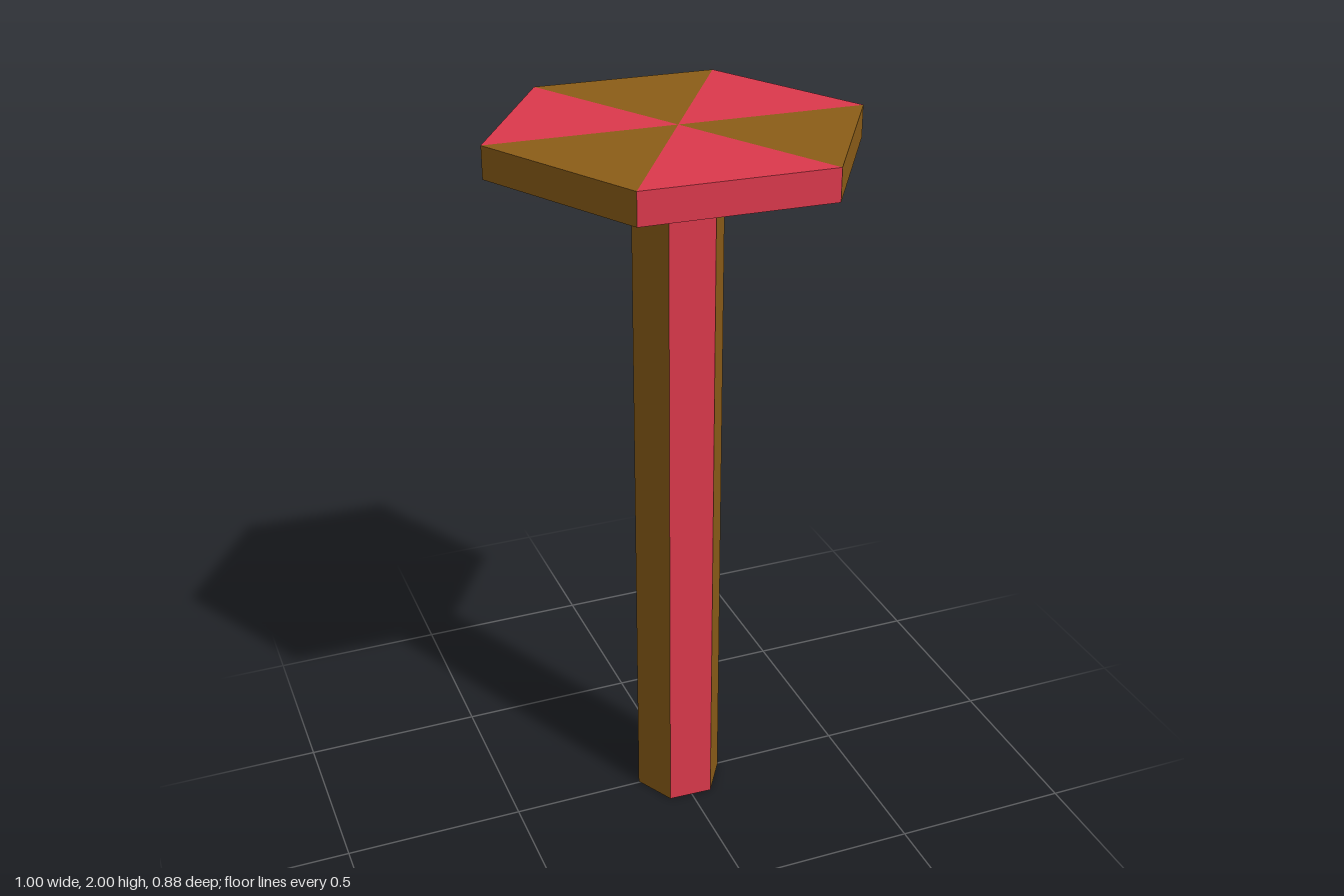
import * as THREE from 'three';

const SIDES = 6;
const STEP = (Math.PI * 2) / SIDES;
const START = THREE.MathUtils.degToRad(-32.2); // slight twist of the hexagon
const HEIGHT = 2;
const CAP_BOTTOM = 1.915;

const COLORS = [0xdc394c, 0x8b5d18];

// One hexagonal prism made of six sectors in alternating colours
function hexPrism(name, partName, radius, y0, y1, openEnded) {
  const group = new THREE.Group();
  group.name = name;
  const materials = COLORS.map((color) => new THREE.MeshStandardMaterial({
    color,
    flatShading: true,
    side: openEnded ? THREE.DoubleSide : THREE.FrontSide,
  }));
  for (let i = 0; i < SIDES; i++) {
    const geometry = new THREE.CylinderGeometry(
      radius, radius, y1 - y0, 1, 1, openEnded, START + i * STEP, STEP);
    const mesh = new THREE.Mesh(geometry, materials[i % 2]);
    mesh.name = `${partName}${i + 1}`;
    mesh.position.y = (y0 + y1) / 2;
    group.add(mesh);
  }
  return group;
}

export function createModel() {
  const model = new THREE.Group();
  model.name = 'hexagonalPost';
  // Hollow shaft, open at the foot
  model.add(hexPrism('shaft', 'shaftPanel', 0.125, 0, CAP_BOTTOM, true));
  // Wide flat cap, closed above and below
  model.add(hexPrism('cap', 'capWedge', 0.5, CAP_BOTTOM, HEIGHT, false));
  return model;
}
